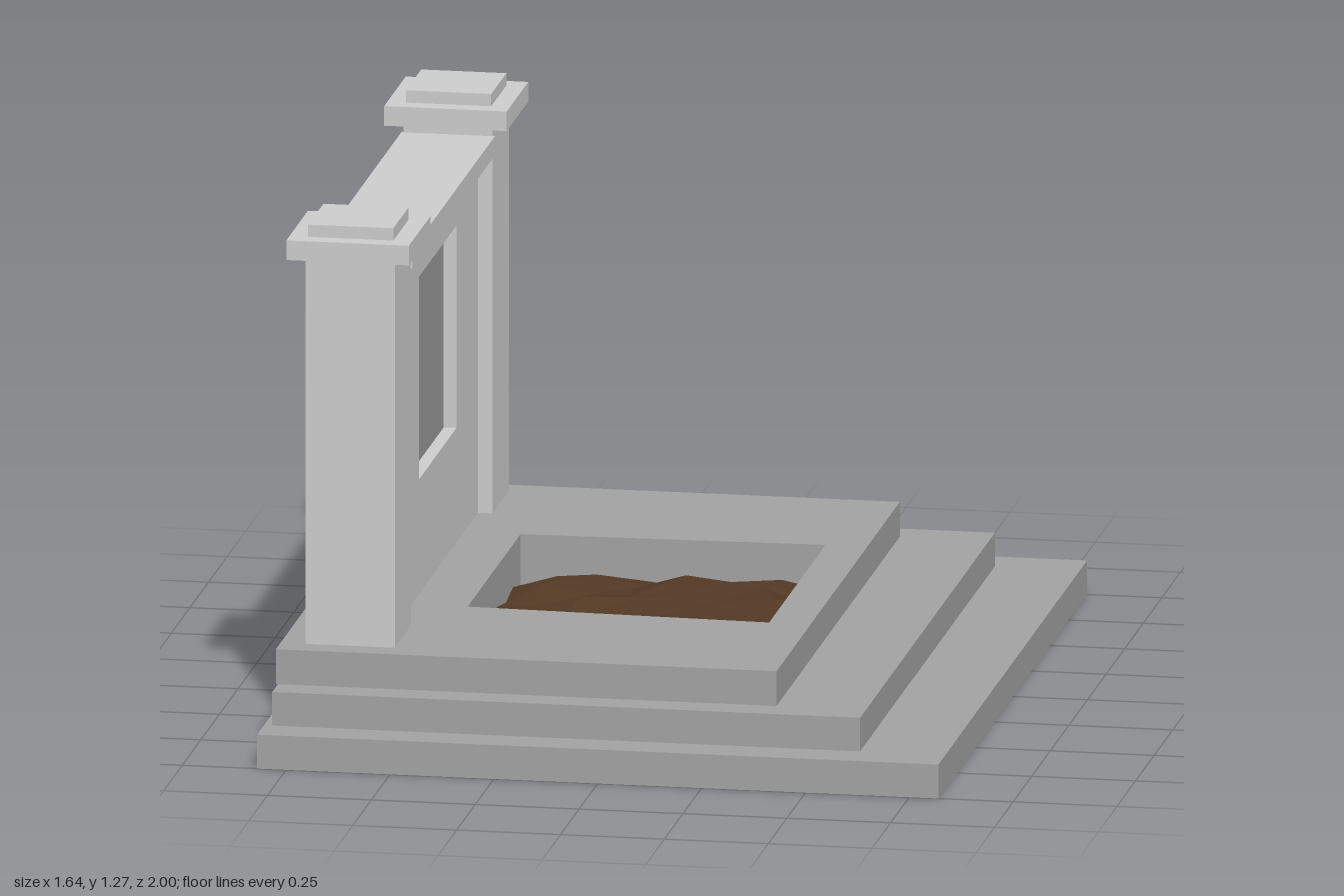
import * as THREE from 'three';

const stone = new THREE.MeshStandardMaterial({ color: 0xcccccc, flatShading: true });
const darkStone = new THREE.MeshStandardMaterial({ color: 0xa1a1a1, flatShading: true });
const panelStone = new THREE.MeshStandardMaterial({ color: 0x979797, flatShading: true });
const earth = new THREE.MeshStandardMaterial({ color: 0x513823, flatShading: true, side: THREE.DoubleSide });

// Outline of the pit as [x, z]: slightly wider toward +x
const PIT = [[-0.43, -0.365], [0.3, -0.39], [0.3, 0.37], [-0.43, 0.345]];

function mesh(name, geometry, material) {
  const m = new THREE.Mesh(geometry, material);
  m.name = name;
  return m;
}

// Box given by its limits on each axis
function block(name, [x0, x1], [y0, y1], [z0, z1], material) {
  const m = mesh(name, new THREE.BoxGeometry(x1 - x0, y1 - y0, z1 - z0), material);
  m.position.set((x0 + x1) / 2, (y0 + y1) / 2, (z0 + z1) / 2);
  return m;
}

function rectangle(x0, x1, y0, y1) {
  return [[x0, y0], [x1, y0], [x1, y1], [x0, y1]].map(([x, y]) => new THREE.Vector2(x, y));
}

function extrudeWithHole(outline, hole, depth) {
  const shape = new THREE.Shape(outline);
  shape.holes.push(new THREE.Path(hole));
  return new THREE.ExtrudeGeometry(shape, { depth, bevelEnabled: false });
}

// Step slab with the pit cut through it
function pitSlab(name, x0, x1, halfZ, y0, y1) {
  const hole = PIT.map(([x, z]) => new THREE.Vector2(x, -z));
  const geometry = extrudeWithHole(rectangle(x0, x1, -halfZ, halfZ), hole, y1 - y0);
  geometry.rotateX(-Math.PI / 2).translate(0, y0, 0);
  return mesh(name, geometry, darkStone);
}

// Rough soil: a jittered grid stretched over the pit outline
function soil() {
  let seed = 7;
  const random = () => (seed = (seed * 16807) % 2147483647) / 2147483647;
  const n = 7;
  const geometry = new THREE.PlaneGeometry(1, 1, n, n);
  const p = geometry.attributes.position;
  for (let i = 0; i < p.count; i++) {
    let u = p.getX(i) + 0.5;
    let v = 0.5 - p.getY(i);
    const rim = Math.min(u, v, 1 - u, 1 - v) < 0.01;
    const du = (random() - 0.5) * 0.11, dv = (random() - 0.5) * 0.11;
    if (!rim) { u += du; v += dv; }
    const x = THREE.MathUtils.lerp(PIT[0][0], PIT[1][0], u);
    const zBack = THREE.MathUtils.lerp(PIT[0][1], PIT[1][1], u);
    const zFront = THREE.MathUtils.lerp(PIT[3][1], PIT[2][1], u);
    const y = (rim ? 0.11 : 0.135) + random() * 0.055;
    p.setXYZ(i, x, y, THREE.MathUtils.lerp(zBack, zFront, v));
  }
  geometry.computeVertexNormals();
  return mesh('soil', geometry, earth);
}

// Square pillar with a two-tier cap
function pillar(name, z) {
  const g = new THREE.Group();
  g.name = name;
  g.add(
    block('shaft', [-0.745, -0.53], [0.25, 1.195], [z - 0.11, z + 0.11], stone),
    block('cap', [-0.785, -0.49], [1.195, 1.243], [z - 0.145, z + 0.145], stone),
    block('capTop', [-0.74, -0.535], [1.243, 1.273], [z - 0.102, z + 0.102], stone),
  );
  return g;
}

// Wall between the pillars with a square niche on its +x side
function headWall() {
  const g = new THREE.Group();
  g.name = 'headWall';
  const face = extrudeWithHole(
    rectangle(-0.555, 0.555, 0.25, 1.125),
    rectangle(-0.245, 0.26, 0.53, 1.025), 0.035);
  face.rotateY(Math.PI / 2).translate(-0.6, 0, 0);
  g.add(
    mesh('wallFace', face, stone),
    block('wallBack', [-0.71, -0.6], [0.25, 1.125], [-0.555, 0.555], stone),
    block('nichePanel', [-0.605, -0.596], [0.53, 1.025], [-0.26, 0.245], panelStone),
    block('coping', [-0.75, -0.525], [1.125, 1.172], [-0.555, 0.555], stone),
  );
  return g;
}

export function createModel() {
  const model = new THREE.Group();
  model.name = 'memorial';
  model.add(
    block('bottomStep', [-0.82, 0.82], [0, 0.083], [-1, 1], darkStone),
    pitSlab('middleStep', -0.8, 0.615, 0.907, 0.083, 0.165),
    pitSlab('topStep', -0.805, 0.4, 0.83, 0.165, 0.25),
    soil(),
    pillar('leftPillar', 0.656),
    pillar('rightPillar', -0.66),
    headWall(),
  );
  return model;
}
